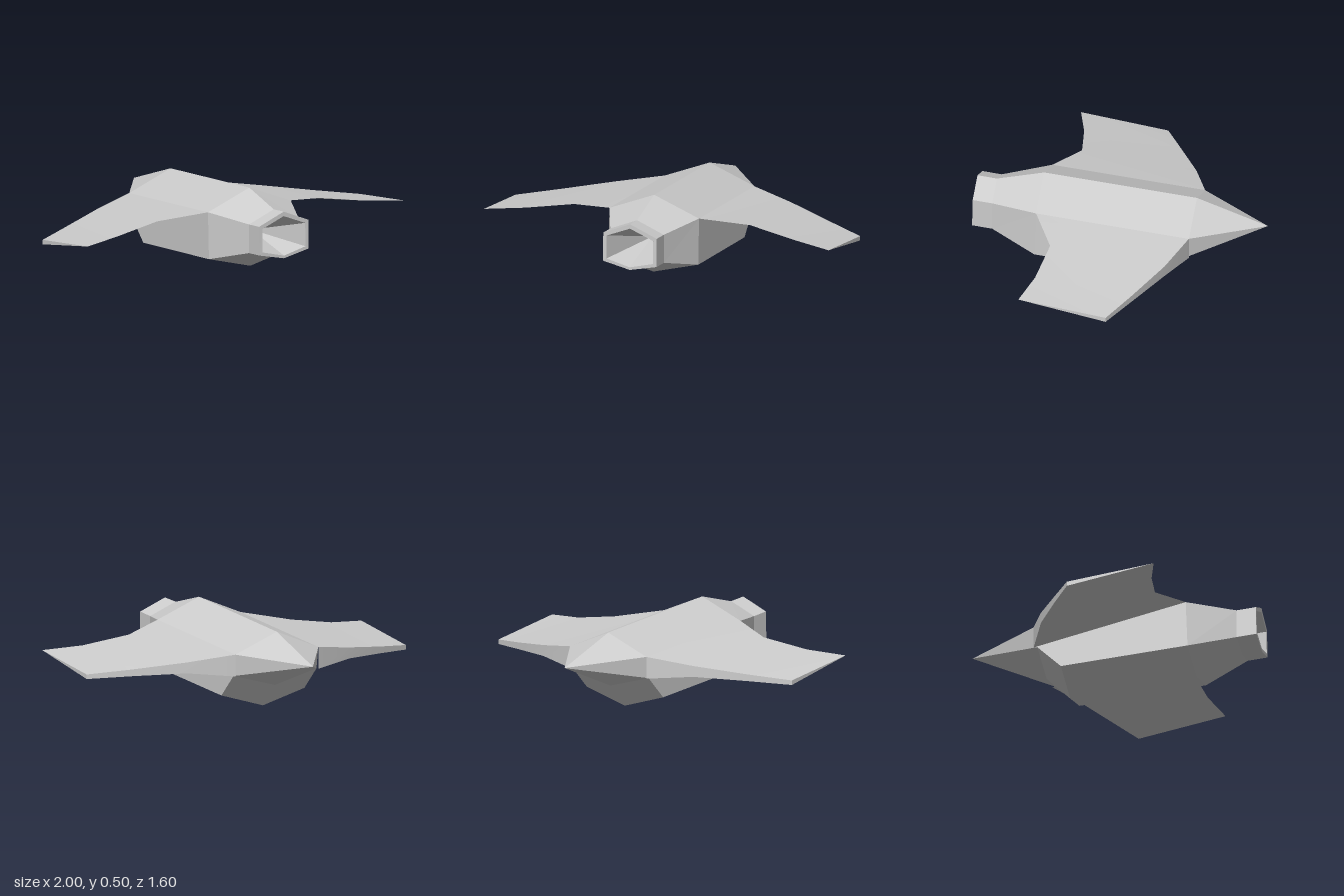
import * as THREE from 'three';
import { toCreasedNormals } from 'three/addons/utils/BufferGeometryUtils.js';

// Skin a list of rings (equal point counts), dropping collapsed triangles.
function loft(rings) {
  const pos = [];
  const tri = (a, b, c) => {
    const t = new THREE.Triangle(...[a, b, c].map((p) => new THREE.Vector3(...p)));
    if (t.getArea() > 1e-7) pos.push(...a, ...b, ...c);
  };
  for (let i = 0; i < rings.length - 1; i++) {
    const r = rings[i], s = rings[i + 1], n = r.length;
    for (let j = 0; j < n; j++) {
      const k = (j + 1) % n;
      tri(r[j], r[k], s[j]);
      tri(r[k], s[k], s[j]);
    }
  }
  const g = new THREE.BufferGeometry();
  g.setAttribute('position', new THREE.Float32BufferAttribute(pos, 3));
  g.computeVertexNormals();
  return g;
}

// Six-sided hull section: half width, upper z, ridge y, shoulder y, lower z, chine y, keel y
const hullRing = ([w, zu, ridge, shoulder, zl, chine, keel]) => [
  [0, ridge, zu], [w, shoulder, zu], [w, chine, zl],
  [0, keel, zl], [-w, chine, zl], [-w, shoulder, zu],
];

export function createModel() {
  const model = new THREE.Group();
  const flat = new THREE.MeshStandardMaterial({ color: 0xcccccc, flatShading: true });
  const smooth = new THREE.MeshStandardMaterial({ color: 0xcccccc });
  const add = (name, geometry, material) => {
    const mesh = new THREE.Mesh(geometry, material);
    mesh.name = name;
    model.add(mesh);
  };

  // Hollow front opening, narrowing to a point inside
  const innerRim = [0.135, 0.797, 0.42, 0.365, 0.8, 0.235, 0.2];
  add('intake', loft([[0, 0.45, 0.27, 0.27, 0.45, 0.27, 0.27], innerRim].map(hullRing)), flat);

  // Hull from the rim back to the pointed tail
  add('hull', loft([
    innerRim,
    [0.155, 0.797, 0.445, 0.38, 0.8, 0.22, 0.185],
    [0.155, 0.69, 0.435, 0.37, 0.69, 0.21, 0.175],
    [0.26, 0.43, 0.5, 0.395, 0.44, 0.135, 0.065],
    [0.26, -0.41, 0.425, 0.32, -0.26, 0.075, 0],
    [0.26, -0.41, 0.425, 0.32, -0.39, 0.2, 0.13],
    [0, -0.8, 0.287, 0.287, -0.8, 0.287, 0.287],
  ].map(hullRing)), flat);

  // Wing stations: x, sharp front edge z and y, rear edge z, rear lower y, rear upper y
  const stations = [
    [0.26, 0.43, 0.395, -0.41, 0.2, 0.32],
    [0.51, 0.31, 0.35, -0.32, 0.225, 0.285],
    [0.78, 0.345, 0.308, -0.19, 0.213, 0.25],
    [1, 0.4, 0.292, -0.08, 0.2, 0.225],
  ];
  for (const side of [1, -1]) {
    const rings = stations.map(([x, zf, yf, zr, lo, hi]) => {
      const ring = [[side * x, yf, zf], [side * x, lo, zr], [side * x, hi, zr]];
      return side > 0 ? ring : ring.reverse();
    });
    // Collapsed last ring closes the wing tip
    const tip = rings[rings.length - 1][0];
    rings.push([tip, tip, tip]);
    add(side > 0 ? 'leftWing' : 'rightWing', toCreasedNormals(loft(rings), 0.3), smooth);
  }
  return model;
}
